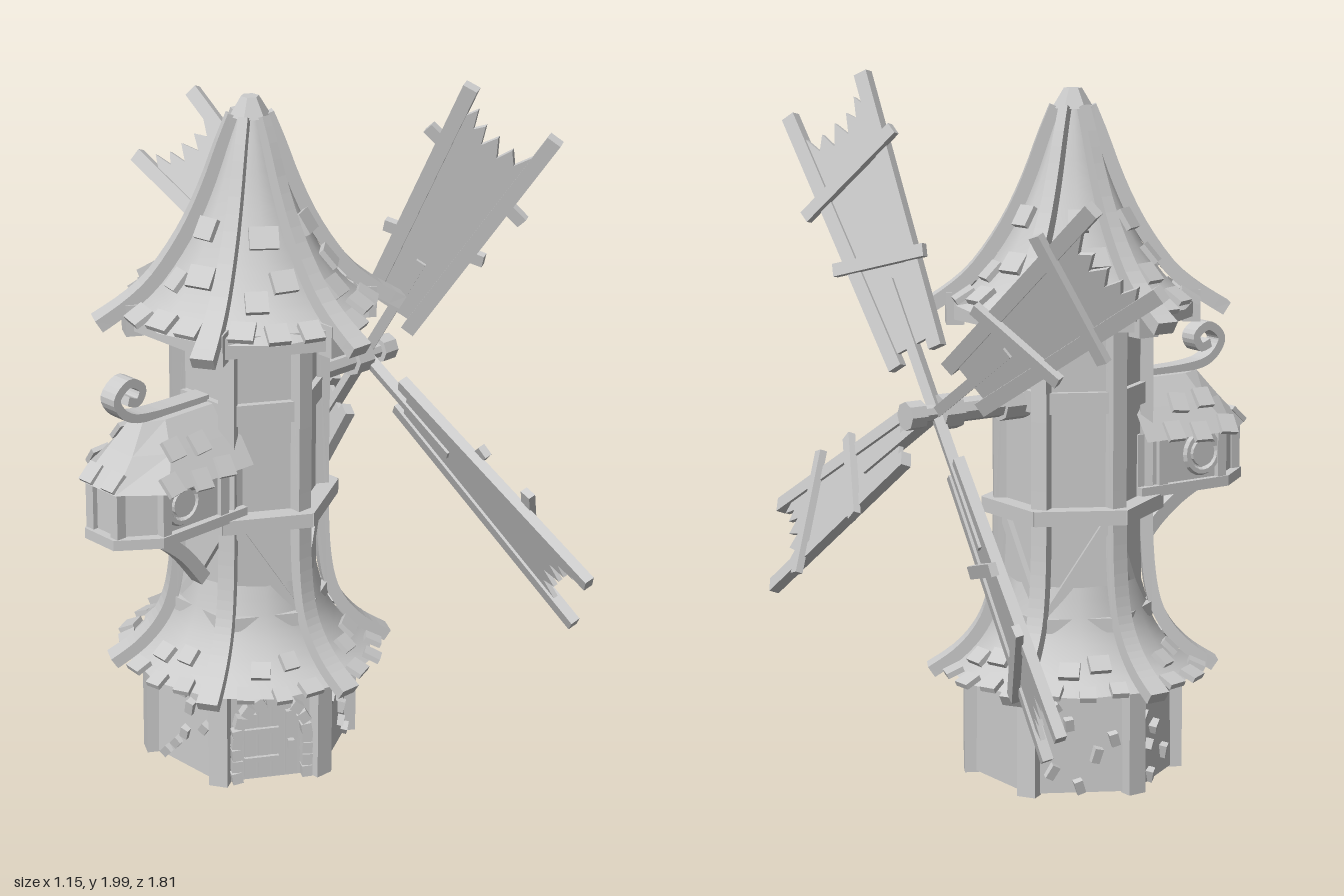
import * as THREE from 'three';

const flat = new THREE.MeshStandardMaterial({ color: 0xcccccc, flatShading: true, side: THREE.DoubleSide });
const smooth = new THREE.MeshStandardMaterial({ color: 0xcccccc, side: THREE.DoubleSide });
const SIXTH = Math.PI / 3;
const V2 = (p) => new THREE.Vector2(p[0], p[1]);

function add(parent, name, geo, pos = [0, 0, 0], rot = [0, 0, 0], mat = flat) {
  const m = new THREE.Mesh(geo, mat);
  m.name = name;
  m.position.set(...pos);
  m.rotation.set(...rot);
  parent.add(m);
  return m;
}
const box = (parent, name, size, pos, rot) => add(parent, name, new THREE.BoxGeometry(...size), pos, rot);
function group(parent, name, pos = [0, 0, 0], rotY = 0) {
  const g = new THREE.Group();
  g.name = name;
  g.position.set(...pos);
  g.rotation.y = rotY;
  parent.add(g);
  return g;
}
function bar(parent, name, a, b, w, d) {
  const dx = b[0] - a[0], dy = b[1] - a[1];
  return box(parent, name, [w, Math.hypot(dx, dy), d],
    [(a[0] + b[0]) / 2, (a[1] + b[1]) / 2, a[2] || 0], [0, 0, -Math.atan2(dx, dy)]);
}
// Bent timber: a planar curve in XY thickened by t, its width along z running from w0 to w1
function beam(points, t, w0, w1 = w0, n = 16) {
  const curve = new THREE.SplineCurve(points.map(V2));
  const side = (s) => Array.from({ length: n + 1 }, (_, i) => {
    const tan = curve.getTangent(i / n);
    return curve.getPoint(i / n).add(new THREE.Vector2(-tan.y, tan.x).multiplyScalar(s * t / 2));
  });
  const geo = new THREE.ExtrudeGeometry(new THREE.Shape([...side(1), ...side(-1).reverse()]), { depth: 1, bevelEnabled: false });
  const p = geo.attributes.position, x0 = points[0][0], x1 = points[points.length - 1][0];
  for (let i = 0; i < p.count; i++) {
    const k = THREE.MathUtils.clamp((p.getX(i) - x0) / (x1 - x0), 0, 1);
    p.setZ(i, (p.getZ(i) - 0.5) * (w0 + (w1 - w0) * k));
  }
  geo.computeVertexNormals();
  return geo;
}
let seed = 7;
const rnd = () => (seed = (seed * 16807) % 2147483647) / 2147483647;

// Loose shingles lying on a round roof; k runs from 0 at the first profile point to 1 at the last
function shingles(parent, profile, spots, size) {
  const curve = new THREE.SplineCurve(profile.map(V2));
  for (const [angle, k] of spots) {
    const p = curve.getPoint(k), t = curve.getTangent(k);
    const g = group(parent, 'shingle', [0, 0, 0], angle - Math.PI / 2);
    box(g, 'shingle', [size, 0.016, size * (0.9 + 0.4 * rnd())], [p.x + 0.008, p.y + 0.01, 0],
      [0, (rnd() - 0.5) * 0.3, Math.atan2(t.y, t.x) + 0.12]);
  }
}
function roundWindow(parent, pos, rotY, r) {
  const g = group(parent, 'roundWindow', pos, rotY);
  add(g, 'windowFrame', new THREE.TorusGeometry(r, 0.012, 6, 20));
  add(g, 'windowPane', new THREE.CylinderGeometry(r * 0.7, r * 0.7, 0.02, 16), [0, 0, 0], [Math.PI / 2, 0, 0]);
}

function buildBase(parent) {
  const g = group(parent, 'base');
  add(g, 'baseWall', new THREE.CylinderGeometry(0.29, 0.295, 0.33, 6, 1, true), [0, 0.175, 0]);
  for (let i = 0; i < 6; i++) {
    const a = i * SIXTH;
    box(g, 'cornerPost', [0.055, 0.31, 0.04], [0.292 * Math.sin(a), 0.16, 0.292 * Math.cos(a)], [0, a, 0]);
    const face = group(g, 'baseFace', [0, 0, 0], a + SIXTH / 2);
    if (i === 1 || i === 5) continue;
    for (let j = 0; j < 6; j++) {
      box(face, 'wallStone', [0.03 + 0.015 * rnd(), 0.025, 0.03], [(rnd() - 0.5) * 0.22, 0.03 + j * 0.045, 0.256], [0.2, 0.2, rnd() * 2]);
    }
  }
  // Arched plank door with a stone surround
  const door = group(g, 'door', [0, 0, 0], -SIXTH / 2);
  for (let i = 0; i < 4; i++) {
    const x = -0.06 + i * 0.04, h = i % 3 ? 0.235 : 0.2;
    box(door, 'doorPlank', [0.034, h, 0.02], [x, 0.02 + h / 2, 0.258]);
  }
  for (const y of [0.08, 0.17]) box(door, 'doorHinge', [0.1, 0.016, 0.012], [-0.03, y, 0.272]);
  box(door, 'doorHandle', [0.018, 0.03, 0.02], [0.055, 0.12, 0.275]);
  for (let i = 0; i < 9; i++) {
    const t = Math.PI * i / 8;
    box(door, 'archStone', [0.03, 0.034, 0.045], [0.1 * Math.cos(t), 0.165 + 0.1 * Math.sin(t), 0.262], [0, 0, t + 0.15]);
  }
  for (const s of [-1, 1]) for (let i = 0; i < 4; i++) {
    box(door, 'jambStone', [0.03, 0.034, 0.045], [s * 0.102, 0.03 + i * 0.037, 0.262], [0, 0, (rnd() - 0.5) * 0.4]);
  }
}

function buildTower(parent) {
  const g = group(parent, 'tower');
  add(g, 'towerWall', new THREE.CylinderGeometry(0.195, 0.195, 0.95, 6, 1, true), [0, 0.88, 0]);
  const skirt = [[0.36, 0.31], [0.3, 0.35], [0.25, 0.41], [0.215, 0.48], [0.19, 0.58]];
  add(g, 'skirtRoof', new THREE.LatheGeometry(new THREE.SplineCurve(skirt.map(V2)).getPoints(10), 12), [0, 0, 0], [0, 0, 0], smooth);
  const spots = [];
  for (let i = 0; i < 6; i++) for (const [o, k] of [[0.25, 0.06], [0.52, 0.03], [0.76, 0.07], [0.38, 0.3], [0.66, 0.36]]) spots.push([(i + o) * SIXTH, k]);
  shingles(g, skirt, spots, 0.05);
  const rib = beam([[0.405, 0.305], [0.33, 0.355], [0.27, 0.42], [0.232, 0.5], [0.213, 0.62], [0.207, 0.8], [0.207, 1.05], [0.207, 1.34]], 0.036, 0.062, 0.045, 28);
  for (let i = 0; i < 6; i++) {
    add(g, 'curvedPost', rib, [0, 0, 0], [0, i * SIXTH - Math.PI / 2, 0]);
    const f = group(g, 'towerFace', [0, 0, 0], (i + 0.5) * SIXTH);
    box(f, 'ringBeam', [0.255, 0.042, 0.05], [0, 0.785, 0.2]);
    box(f, 'upperBeam', [0.19, 0.06, 0.03], [0, 1.1, 0.172]);
    box(f, 'lowerBeam', [0.2, 0.04, 0.04], [0, 0.475, 0.185]);
    const s = i % 2 ? -1 : 1;
    bar(f, 'diagonalBrace', [-0.085 * s, 0.5, 0.172], [0.085 * s, 0.765], 0.03, 0.028);
  }
  roundWindow(g, [0.175, 1.22, 0.01], Math.PI / 2, 0.06);
}

function buildRoof(parent) {
  const g = group(parent, 'mainRoof');
  const profile = [[0.34, 1.355], [0.265, 1.42], [0.2, 1.51], [0.148, 1.61], [0.105, 1.71], [0.07, 1.81], [0.035, 1.91]];
  add(g, 'roofCone', new THREE.LatheGeometry(new THREE.SplineCurve(profile.map(V2)).getPoints(16), 12), [0, 0, 0], [0, 0, 0], smooth);
  add(g, 'soffit', new THREE.CylinderGeometry(0.325, 0.325, 0.02, 6), [0, 1.345, 0]);
  add(g, 'roofCap', new THREE.CylinderGeometry(0.025, 0.058, 0.055, 6), [0, 1.923, 0]);
  const ridge = beam([[0.43, 1.335], [0.35, 1.385], [0.278, 1.445], [0.213, 1.53], [0.16, 1.62], [0.115, 1.72], [0.078, 1.82], [0.045, 1.9]], 0.04, 0.065, 0.025);
  const spots = [];
  for (let i = 0; i < 6; i++) {
    const a = i * SIXTH;
    add(g, 'roofRidge', ridge, [0, 0, 0], [0, a - Math.PI / 2, 0]);
    box(g, 'ridgeBlock', [0.065, 0.09, 0.05], [0.33 * Math.sin(a), 1.345, 0.33 * Math.cos(a)], [0, a, 0]);
    const f = group(g, 'eave', [0, 0, 0], a + SIXTH / 2);
    box(f, 'eaveBeam', [0.33, 0.06, 0.03], [0, 1.345, 0.29]);
    for (const [o, k] of [[0.22, 0.03], [0.5, 0.05], [0.78, 0.02], [0.35, 0.2], [0.68, 0.26], [0.5, 0.44]]) spots.push([a + o * SIXTH, k + rnd() * 0.05]);
  }
  shingles(g, profile, spots, 0.062);
}

// Small bay hanging from the tower's side, with a curled finial
function buildBay(parent) {
  const g = group(parent, 'bay');
  const plan = (w, nose, front, tip) => [[-0.14, w], [front, w], [nose, tip], [nose, -tip], [front, -w], [-0.14, -w]];
  const slab = (name, pts, y, h) => add(g, name,
    new THREE.ExtrudeGeometry(new THREE.Shape(pts.map(V2)), { depth: h, bevelEnabled: false }), [0, y + h, 0], [Math.PI / 2, 0, 0]);
  slab('bayFloor', plan(0.14, -0.56, -0.45, 0.06), 0.8, 0.03);
  slab('bayWall', plan(0.12, -0.535, -0.43, 0.05), 0.82, 0.16);
  for (const s of [-1, 1]) {
    for (const [x, z] of [[-0.43, 0.12], [-0.535, 0.05], [-0.22, 0.12]]) box(g, 'bayPost', [0.03, 0.17, 0.03], [x, 0.895, s * z]);
    roundWindow(g, [-0.365, 0.905, s * 0.122], 0, 0.055);
  }
  // Hipped roof from three stacked outlines
  const rings = [[0.165, -0.56, -0.45, 0.07, 0.965], [0.105, -0.48, -0.39, 0.05, 1.05], [0.05, -0.42, -0.36, 0.025, 1.125]];
  const pos = [], idx = [];
  for (const [w, n, f, t, y] of rings) for (const [x, z] of plan(w, n, f, t)) pos.push(x, y, z);
  for (let r = 0; r < 2; r++) for (let i = 0; i < 5; i++) {
    const a = r * 6 + i;
    idx.push(a, a + 6, a + 1, a + 1, a + 6, a + 7);
  }
  for (let i = 1; i < 5; i++) idx.push(12, 12 + i + 1, 12 + i);
  const roof = new THREE.BufferGeometry();
  roof.setAttribute('position', new THREE.Float32BufferAttribute(pos, 3));
  roof.setIndex(idx);
  roof.computeVertexNormals();
  add(g, 'bayRoof', roof);
  for (const s of [-1, 1]) for (const [x, y, z] of [[-0.24, 0.985, 0.155], [-0.33, 0.975, 0.162], [-0.43, 0.985, 0.155], [-0.29, 1.055, 0.108], [-0.38, 1.06, 0.105]]) {
    box(g, 'bayShingle', [0.055, 0.014, 0.06], [x, y, s * z], [s * 0.88, (rnd() - 0.5) * 0.3, 0]);
  }
  for (const z of [-0.05, 0.04]) box(g, 'bayShingle', [0.06, 0.014, 0.05], [-0.54, 0.99, z], [0, 0, 0.75]);
  add(g, 'curledFinial', beam([[-0.18, 1.13], [-0.38, 1.135], [-0.47, 1.155], [-0.51, 1.21], [-0.465, 1.25], [-0.42, 1.225], [-0.435, 1.19], [-0.47, 1.2]], 0.025, 0.055, 0.055, 32));
  add(g, 'bayBracket', beam([[-0.46, 0.805], [-0.36, 0.755], [-0.27, 0.685], [-0.19, 0.585]], 0.04, 0.045));
}

function buildSails(parent) {
  const g = group(parent, 'windShaft', [0, 1.09, 0]);
  for (const [name, r, x0, x1] of [['shaftCollar', 0.046, 0.14, 0.25], ['shaft', 0.034, 0.24, 0.4], ['hub', 0.05, 0.39, 0.45], ['shaftEnd', 0.024, 0.44, 0.52], ['shaftNut', 0.04, 0.505, 0.555]]) {
    add(g, name, new THREE.CylinderGeometry(r, r, x1 - x0, 8), [(x0 + x1) / 2, 0, 0], [0, 0, Math.PI / 2]);
  }
  const rotor = group(g, 'rotor', [0.455, 0, 0], Math.PI / 2 + 0.04);
  const outline = [[-0.06, 0.2], [0.06, 0.2], [0.115, 0.88], [0.085, 0.93], [0.07, 0.87], [0.045, 0.9], [0.03, 0.84], [0, 0.89], [-0.025, 0.83], [-0.05, 0.88], [-0.075, 0.84], [-0.115, 0.91]];
  const board = new THREE.ExtrudeGeometry(new THREE.Shape(outline.map(V2)), { depth: 0.014, bevelEnabled: false });
  for (let i = 0; i < 4; i++) {
    const b = group(rotor, 'sail');
    b.rotation.set(0, 0.43, 0.565 + i * Math.PI / 2, 'ZYX');
    add(b, 'sailBoards', board, [0, 0, -0.007]);
    for (const s of [-1, 1]) bar(b, 'sailRail', [s * 0.07, 0.165], [s * 0.133, 0.98], 0.042, 0.03);
    bar(b, 'sailSpar', [0, 0], [0, 0.4], 0.03, 0.03);
    const tilt = i % 2 ? -1 : 1;
    box(b, 'outerCrossbar', [0.37, 0.036, 0.022], [0, 0.73, 0.022], [0, 0, 0.27 * tilt]);
    box(b, 'innerCrossbar', [0.3, 0.036, 0.022], [0, 0.46, 0.022], [0, 0, -0.26 * tilt]);
  }
}

export function createModel() {
  const model = new THREE.Group();
  model.name = 'windmill';
  const body = group(model, 'mill', [-0.015, 0, 0]);
  buildBase(body);
  buildTower(body);
  buildRoof(body);
  buildBay(body);
  buildSails(body);
  return model;
}
